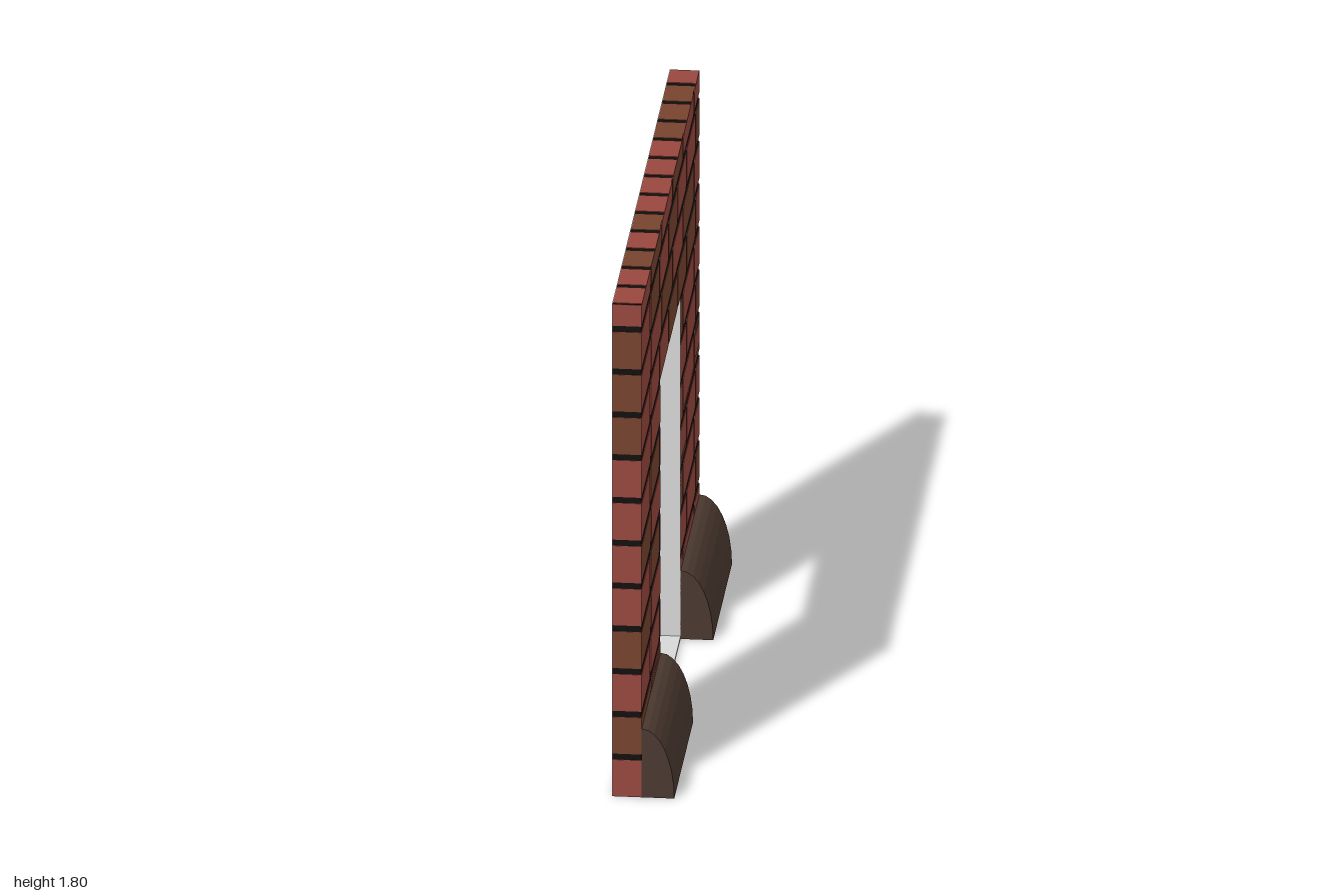
import * as THREE from 'three';
import { mergeGeometries } from 'three/addons/utils/BufferGeometryUtils.js';

const BACK = -0.105, FACE = -0.005, TOP = 1.8;
const DOOR_W = 0.35, DOOR_H = 1.25;   // half width and height of the doorway
const T = 0.002, GAP = 0.011;         // brick relief, half mortar joint

const mat = (name, color) => new THREE.MeshStandardMaterial({ name, color });

// box from its limits
function slab(x0, x1, y0, y1, z0, z1) {
  return new THREE.BoxGeometry(x1 - x0, y1 - y0, z1 - z0)
    .translate((x0 + x1) / 2, (y0 + y1) / 2, (z0 + z1) / 2).toNonIndexed();
}

// polygon in the (u = -z, y) plane, extruded along x
function alongX(points, x0, depth) {
  const shape = new THREE.Shape(points.map(p => new THREE.Vector2(...p)));
  return new THREE.ExtrudeGeometry(shape, { depth, bevelEnabled: false })
    .rotateY(Math.PI / 2).translate(x0, 0, 0);
}

// brick plate with small cut corners; cl / cr are the left and right cuts
function brick(u0, u1, y0, y1, cl, cr, x0 = FACE - T, depth = T) {
  const pts = [[u0 + cl, y0], [u1 - cr, y0], [u1, y0 + cr], [u1, y1 - cr],
    [u1 - cr, y1], [u0 + cl, y1], [u0, y1 - cl], [u0, y0 + cl]];
  const unique = pts.filter((p, i) => {
    const q = pts[(i + 1) % pts.length];
    return Math.hypot(p[0] - q[0], p[1] - q[1]) > 1e-6;
  });
  return alongX(unique, x0, depth);
}

export function createModel() {
  const red = mat('red brick', 0x98473e);
  const brown = mat('brown brick', 0x78432e);
  const mortar = mat('black mortar', 0x100f0e);
  const stone = mat('dark plinth', 0x4a382f);
  const trim = mat('pale grey trim', 0xd6d8d7);
  const blue = mat('blue plaster', 0x9ab9d8);

  const wall = new THREE.Group();
  wall.name = 'wallWithDoorway';
  const add = (name, geometry, material) => {
    const mesh = new THREE.Mesh(geometry, material);
    mesh.name = name;
    wall.add(mesh);
  };

  // mortar core with the doorway cut out
  const e = 1 - T, d = DOOR_W + T;
  add('mortarCore', alongX([[-e, T], [-d, T], [-d, DOOR_H + T], [d, DOOR_H + T],
    [d, T], [e, T], [e, TOP - T], [-e, TOP - T]], BACK + T, FACE - BACK - 2 * T), mortar);

  const plates = { r: [], b: [] };

  // courses of the brick face, bottom to top
  const rowY = j => j <= 0 ? 0 : Math.min(TOP, 0.145 + 0.1565 * (j - 1));
  const joints = [
    [-1, -0.693, -0.377, -0.061, 0.254, 0.56, 0.875, 1],
    [-1, -0.677, -0.302, 0.072, 0.447, 0.821, 1]];
  const courses = ['rrrrrrr', 'brrrrr', 'rrrrrrb', 'brrbrr', 'rbrrrrr', 'brrrrb',
    'rbrrrrb', 'rrrbrr', 'rrrbbbr', 'rrbrbr', 'rbrbrrb', 'rbrbrr'];
  const rowSpan = j => [rowY(j) + (j ? GAP : 0), rowY(j + 1) - (j < 11 ? GAP : 0)];
  courses.forEach((colors, j) => {
    const [y0, y1] = rowSpan(j);
    const zones = y0 < DOOR_H - 0.01 ? [[-1, -DOOR_W], [DOOR_W, 1]] : [[-1, 1]];
    const js = joints[j % 2];
    [...colors].forEach((c, i) => {
      const a = js[i] + (i ? GAP : 0);
      const b = js[i + 1] - (i < colors.length - 1 ? GAP : 0);
      for (const [lo, hi] of zones) {
        const u0 = Math.max(a, lo), u1 = Math.min(b, hi);
        if (u1 - u0 < 0.004) continue;
        const cut = Math.min(0.011, (u1 - u0) / 3);
        plates[c].push(brick(u0, u1, Math.max(y0, j === 8 ? DOOR_H : 0), y1,
          u0 > lo ? cut : 0, u1 < hi ? cut : 0));
      }
    });
  });

  // worn patches on a few bricks
  const patch = (c, u0, u1, y0, y1) =>
    plates[c].push(brick(u0, u1, y0, y1, 0.008, 0.008, FACE, 0.001));
  patch('r', 0.86, 0.998, 0.81, 0.895);
  patch('b', 0.458, 0.81, 0.782, 0.797);
  patch('b', 0.36, 0.549, 0.628, 0.65);
  patch('b', -0.666, -0.352, 0.25, 0.272);

  // bricks on both ends
  [...'rbrbrrrrbbbr'].forEach((c, j) => {
    const [y0, y1] = rowSpan(j);
    for (const s of [-1, 1]) {
      const z = [s, s * (1 - T)].sort((p, q) => p - q);
      plates[c].push(slab(BACK + T, FACE - T, y0, y1, z[0], z[1]));
    }
  });

  // bricks along the top
  [...'rbbbrrrrbrbrr'].forEach((c, i) => {
    const z0 = i ? -0.88 + 0.1565 * (i - 1) + GAP : -1;
    const z1 = Math.min(1, -0.88 + 0.1565 * i - GAP);
    plates[c].push(slab(BACK + T, FACE - T, TOP - T, TOP, z0, z1));
  });
  add('redBricks', mergeGeometries(plates.r), red);
  add('brownBricks', mergeGeometries(plates.b), brown);

  // underside
  add('underside', slab(BACK, FACE, 0, T, -1, 1), brown);

  // doorway lining: jambs, head and threshold
  for (const s of [-1, 1]) {
    const z = [s * DOOR_W, s * (DOOR_W + T)].sort((p, q) => p - q);
    add(s > 0 ? 'leftJamb' : 'rightJamb',
      slab(BACK + T, FACE - T / 2, T, DOOR_H, z[0], z[1]), trim);
  }
  add('doorHead', slab(BACK + T, FACE - T / 2, DOOR_H, DOOR_H + T, -d, d), trim);
  add('threshold', slab(BACK, FACE, T, 0.01, -DOOR_W, DOOR_W), trim);

  // back face: pale border with a blue panel on it
  const arch = (m) => [[-1 + m, T + m], [-DOOR_W, T + m], [-DOOR_W, DOOR_H], [DOOR_W, DOOR_H],
    [DOOR_W, T + m], [1 - m, T + m], [1 - m, TOP - m], [-1 + m, TOP - m]];
  add('backBorder', alongX(arch(0), BACK, T), trim);
  add('backPanel', alongX(arch(0.07), BACK - 0.001, 0.001), blue);

  // rounded plinths on either side of the doorway
  const profile = [[0, 0]];
  for (let i = 0; i <= 8; i++) {
    const a = (i / 8) * Math.PI / 2;
    profile.push([0.11 * Math.cos(a), 0.25 * Math.sin(a)]);
  }
  const section = new THREE.Shape(profile.map(p => new THREE.Vector2(...p)));
  for (const s of [-1, 1]) {
    const g = new THREE.ExtrudeGeometry(section, { depth: 1 - DOOR_W, bevelEnabled: false });
    g.translate(FACE, 0, s > 0 ? DOOR_W : -1);
    add(s > 0 ? 'leftPlinth' : 'rightPlinth', g, stone);
  }
  return wall;
}
